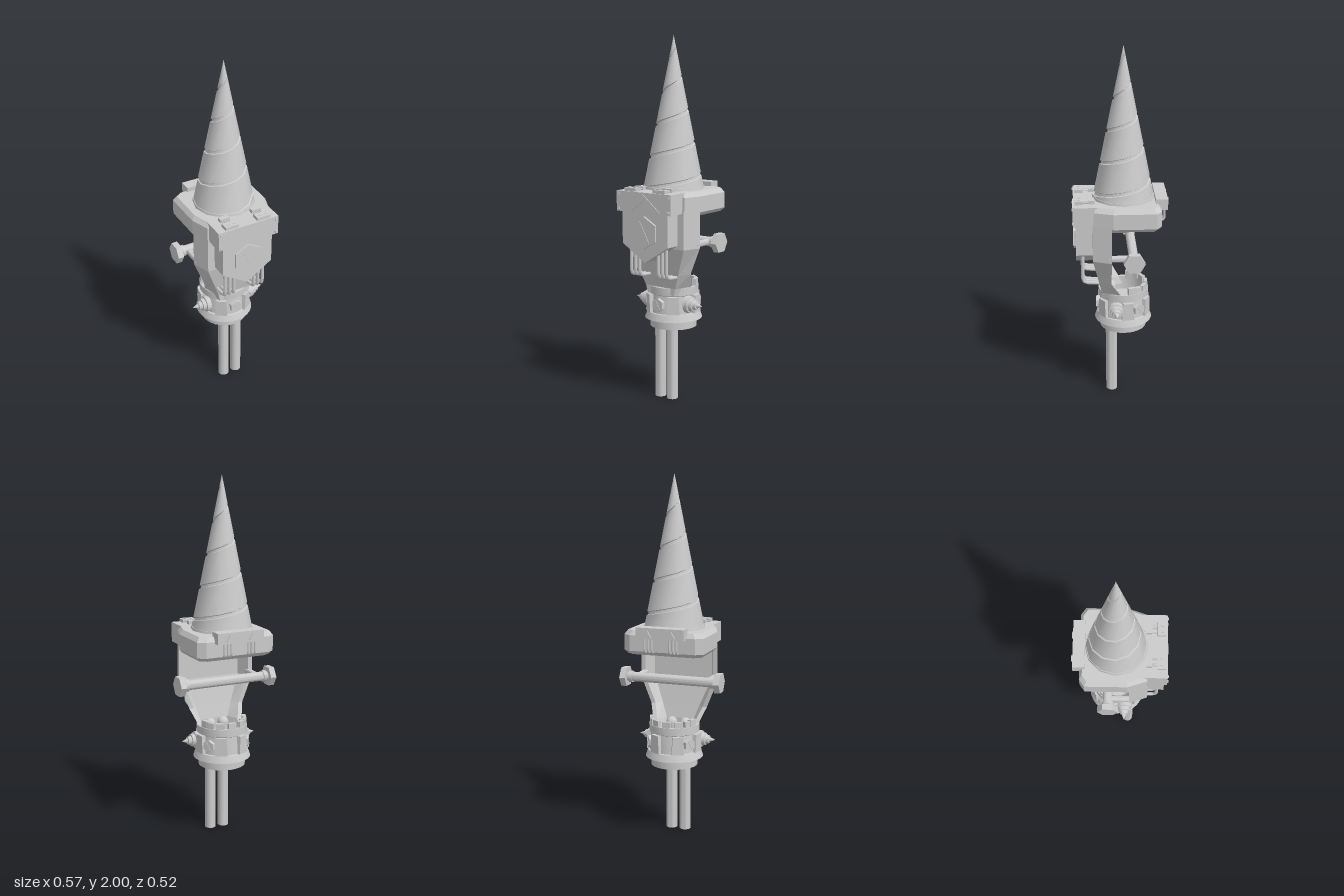
import * as THREE from 'three';
import { toCreasedNormals } from 'three/addons/utils/BufferGeometryUtils.js';

const mat = new THREE.MeshStandardMaterial({ color: 0xcccccc, side: THREE.DoubleSide });
const CZ = -0.022; // z of the main axis

// Skin over rows of points; rows go upward, points run front -> +x -> back
function skin(rows, closed, caps) {
  const p = [], tri = (a, b, c) => {
    const t = new THREE.Triangle(new THREE.Vector3(...a), new THREE.Vector3(...b), new THREE.Vector3(...c));
    if (t.getArea() > 1e-9) p.push(...a, ...b, ...c);
  };
  const n = rows[0].length;
  for (let k = 0; k < rows.length - 1; k++)
    for (let j = 0; j < (closed ? n : n - 1); j++) {
      const m = (j + 1) % n;
      tri(rows[k][j], rows[k][m], rows[k + 1][m]);
      tri(rows[k][j], rows[k + 1][m], rows[k + 1][j]);
    }
  if (caps) {
    const top = rows[rows.length - 1], bot = rows[0];
    for (let j = 1; j < n - 1; j++) {
      tri(top[0], top[j], top[j + 1]);
      tri(bot[0], bot[j + 1], bot[j]);
    }
  }
  const g = new THREE.BufferGeometry();
  g.setAttribute('position', new THREE.Float32BufferAttribute(p, 3));
  g.computeVertexNormals();
  return g;
}

export function createModel() {
  const root = new THREE.Group();
  const add = (name, geo, x = 0, y = 0, z = 0, parent = root) => {
    const m = new THREE.Mesh(geo, mat);
    m.name = name;
    m.position.set(x, y, z);
    parent.add(m);
    return m;
  };
  const box = (name, w, h, d, x, y, z, parent) => add(name, new THREE.BoxGeometry(w, h, d), x, y, z, parent);
  const cyl = (r1, r2, h, n) => toCreasedNormals(new THREE.CylinderGeometry(r1, r2, h, n), 0.7);
  const lathe = (pts, n = 28) =>
    toCreasedNormals(new THREE.LatheGeometry(pts.map(q => new THREE.Vector2(...q)), n), 0.6);
  const plate = (pts, depth) => new THREE.ExtrudeGeometry(
    new THREE.Shape(pts.map(q => new THREE.Vector2(...q))), { depth, bevelEnabled: false });
  const pipe = (name, pts, r) => add(name, new THREE.TubeGeometry(
    new THREE.CatmullRomCurve3(pts.map(q => new THREE.Vector3(...q)), false, 'catmullrom', 0.2), 14, r, 7));
  // Hexagonal bolt with a slanted slot, facing +z
  const bolt = (name, r, d) => {
    const g = new THREE.Group();
    g.name = name;
    add('boltHead', cyl(r, r, d, 6).rotateX(Math.PI / 2), 0, 0, 0, g);
    box('boltSlot', r * 0.2, r * 1.5, 0.006, 0, 0, d / 2, g).rotation.z = 0.5;
    root.add(g);
    return g;
  };
  const around = (o, deg, r, y) => {
    const a = deg * Math.PI / 180;
    o.position.set(r * Math.sin(a), y, CZ + r * Math.cos(a));
    o.rotation.y = a;
    return o;
  };

  // Drill cone with a helical groove
  const base = 1.185, R = y => 0.165 * (2 - y) / (2 - base), pitch = 0.175, N = 12;
  const thread = [[0, 0], [0.002, 0.008], [0.016, 0.008], [0.02, 0], [pitch, 0]].map(([dy, inset]) => {
    const row = [];
    for (let i = 0; i <= 6 * N; i++) {
      const a = i / N * Math.PI * 2;
      const y = Math.min(2, Math.max(base, base - pitch + pitch * i / N + dy));
      const r = Math.max(0, R(y) - inset);
      row.push([r * Math.sin(a), y, r * Math.cos(a)]);
    }
    return row;
  });
  add('drillCone', toCreasedNormals(skin(thread, false), 0.6), 0, 0, CZ);
  add('drillSeat', cyl(0.168, 0.172, 0.02, 12), 0, 1.178, CZ);

  // Head block with chamfered edges
  const outline = [[-0.19, 0.145], [0.19, 0.145], [0.225, 0.04], [0.225, -0.19], [0.185, -0.218], [-0.185, -0.218], [-0.225, -0.19], [-0.225, 0.04]];
  const ring = (y, s) => outline.map(([x, z]) => [x * s, y, CZ + (z - CZ) * s]);
  add('headBlock', skin([ring(1.045, 0.92), ring(1.065, 1), ring(1.15, 1), ring(1.175, 0.92)], true, true));

  // Channel-shaped front support: [y, half width, half front width, front z, rear z]
  const levels = [[0.6, 0.13, 0.09, 0.1, -0.02], [0.64, 0.135, 0.1, 0.1, 0], [0.72, 0.165, 0.13, 0.118, 0.05],
    [0.87, 0.225, 0.19, 0.15, 0.05], [1.08, 0.225, 0.19, 0.15, 0.05]];
  add('frontSupport', skin(levels.map(([y, w, f, zf, zi]) => [[-f, zf], [f, zf], [w, zi], [w - 0.025, zi],
    [f - 0.02, zf - 0.03], [0.02 - f, zf - 0.03], [0.025 - w, zi], [-w, zi]].map(([x, z]) => [x, y, z])), true));

  // Front housing, chevron and shield
  box('frontHousing', 0.36, 0.11, 0.13, 0, 1.12, 0.187);
  add('chevron', plate([[-0.11, 1.075], [-0.07, 1.075], [0, 1.13], [0.07, 1.075], [0.11, 1.075], [0, 1.165]], 0.006), 0, 0, 0.25);
  add('shield', plate([[0, 0.795], [0.15, 0.89], [0.15, 1.07], [-0.15, 1.07], [-0.15, 0.89]], 0.1), 0, 0, 0.14);
  bolt('shieldBolt', 0.088, 0.02).position.set(0, 0.96, 0.242);

  // Rear housing
  box('rearHousing', 0.27, 0.06, 0.065, 0, 1.17, -0.222);
  const triangle = s => plate([[-s, -s * 0.8], [s, -s * 0.8], [0, s]], 0.008);

  for (const s of [-1, 1]) {
    // Connectors on the housings
    box('topTerminal', 0.055, 0.022, 0.03, s * 0.095, 1.183, 0.153);
    box('topTerminalBlock', 0.077, 0.02, 0.047, s * 0.095, 1.183, 0.221);
    for (const t of [-1, 1]) {
      add('topArrow', triangle(0.009).rotateX(-Math.PI / 2), s * 0.095 + t * 0.018, 1.19, 0.222);
      box('housingStud', 0.012, 0.012, 0.012, s * 0.165, 1.12 + t * 0.04, 0.253);
    }
    for (let i = 0; i < 4; i++)
      add('topWire', cyl(0.004, 0.004, 0.05, 6).rotateX(Math.PI / 2), s * 0.095 + (i - 1.5) * 0.013, 1.182, 0.18);
    add('rearArrow', triangle(0.02), s * 0.067, 1.168, -0.262);
    for (let i = 0; i < 3; i++) {
      const x = s * (0.05 + i * 0.02);
      pipe('rearPipe', [[x, 1.15, -0.24], [x, 1.08, -0.24], [x, 1.065, -0.23], [x, 1.065, -0.19]], 0.006);
    }
    // Hoses below the shield
    for (let i = 0; i < 3; i++) {
      const x = s * (0.063 + i * 0.027);
      pipe('frontHose', [[x, 0.9, 0.205], [x, 0.74, 0.205], [x, 0.715, 0.19], [x, 0.708, 0.1]], 0.01);
    }
    // Cross bar ends and arms
    add('barNut', cyl(0.058, 0.058, 0.033, 6).rotateZ(Math.PI / 2), s * 0.27, 0.89, -0.068);
    add('barCollar', cyl(0.032, 0.032, 0.02, 16).rotateZ(Math.PI / 2), s * 0.235, 0.89, -0.068);
    add('barArm', cyl(0.018, 0.018, 0.13, 12).rotateX(Math.PI / 2), s * 0.205, 0.89, 0);
    // Shafts with rounded tops
    add('shaft', cyl(0.031, 0.031, 0.62, 20), s * 0.04, 0.31, 0.045);
    add('shaftTop', new THREE.SphereGeometry(0.031, 20, 8, 0, Math.PI * 2, 0, Math.PI / 2), s * 0.04, 0.62, 0.045);
  }
  add('crossBar', cyl(0.026, 0.026, 0.52, 16).rotateZ(Math.PI / 2), 0, 0.89, -0.068);

  // Hollow collar with flange and open cup
  add('collar', lathe([[0.11, 0.44], [0.115, 0.402], [0.13, 0.402], [0.13, 0.45], [0.16, 0.45], [0.147, 0.488], [0.138, 0.49],
    [0.13, 0.59], [0.14, 0.595], [0.14, 0.637], [0.12, 0.637], [0.115, 0.56], [0, 0.56]]), 0, 0, CZ);
  for (const deg of [-150, -125, 125, 150, 180])
    around(box('cupTooth', 0.045, 0.035, 0.02, 0, 0, 0), deg, 0.125, 0.652);
  for (const deg of [-110, 110])
    around(box('cupTallTooth', 0.045, 0.05, 0.022, 0, 0, 0), deg, 0.124, 0.65);

  // Armour panels, bolts and spikes around the collar
  for (const s of [-1, 1]) {
    for (const deg of [35, 98, 153]) {
      const panel = add('collarPanel', plate([[-0.035, -0.05], [0.035, -0.05], [0.027, 0.05], [-0.027, 0.05]], 0.03));
      around(panel, s * deg, 0.12, 0.54);
    }
    around(bolt('collarBolt', 0.034, 0.03), s * 125, 0.136, 0.54);
    const spike = add('spike', lathe([[0.048, 0], [0.046, 0.025], [0.037, 0.027], [0.034, 0.045], [0.026, 0.047],
      [0.022, 0.065], [0.014, 0.067], [0, 0.1]], 14), s * 0.125, 0.545, 0.022);
    spike.rotation.z = -s * Math.PI / 2;
  }
  around(bolt('collarBolt', 0.038, 0.03), 0, 0.136, 0.54);

  return root;
}
